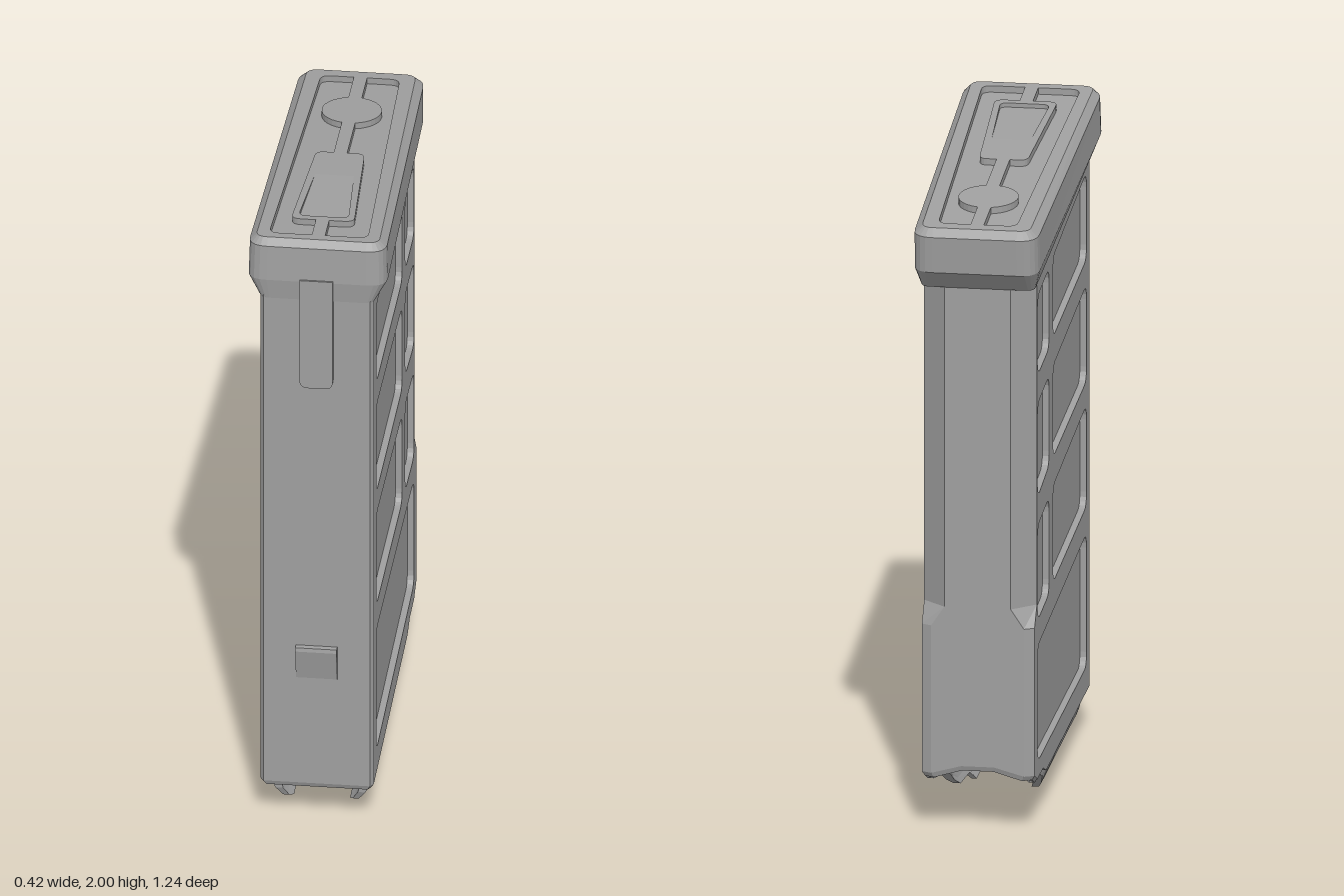
import * as THREE from 'three';

const SLOPE = 0.0875; // the cap and upper body rise towards the front

// Polygon with rounded corners; each point is [x, y, radius?]
function roundPoly(points, radius = 0, Type = THREE.Shape) {
  const path = new Type();
  const n = points.length;
  points.forEach((p, i) => {
    const a = points[(i + n - 1) % n], b = points[(i + 1) % n];
    const c = new THREE.Vector2(p[0], p[1]);
    const r = p[2] ?? radius;
    const toward = (q) => {
      const d = new THREE.Vector2(q[0], q[1]).sub(c);
      return d.setLength(Math.min(r, d.length() * 0.45)).add(c);
    };
    const s = toward(a), e = toward(b);
    if (i === 0) path.moveTo(s.x, s.y); else path.lineTo(s.x, s.y);
    if (r > 0) path.quadraticCurveTo(c.x, c.y, e.x, e.y);
  });
  return path;
}

// Faceted skin through rings of equal point count
function loft(rings, capStart, capEnd) {
  const pos = [];
  const tri = (...v) => v.forEach((p) => pos.push(...p));
  const n = rings[0].length;
  const centre = (ring) => [0, 1, 2].map((k) => ring.reduce((s, p) => s + p[k], 0) / n);
  const last = rings[rings.length - 1];
  const c0 = centre(rings[0]), c1 = centre(last);
  for (let i = 0; i < n; i++) {
    const j = (i + 1) % n;
    for (let k = 0; k + 1 < rings.length; k++) {
      const a = rings[k], b = rings[k + 1];
      tri(a[i], a[j], b[j]);
      tri(a[i], b[j], b[i]);
    }
    if (capStart) tri(c0, rings[0][j], rings[0][i]);
    if (capEnd) tri(c1, last[i], last[j]);
  }
  const g = new THREE.BufferGeometry();
  g.setAttribute('position', new THREE.Float32BufferAttribute(pos, 3));
  g.computeVertexNormals();
  return g;
}

const extrude = (shape, depth) =>
  new THREE.ExtrudeGeometry(shape, { depth, bevelEnabled: false, curveSegments: 5 });

// Plate drawn in (z, y), its outer face at the given x
const sidePlate = (shape, depth, x) => extrude(shape, depth).rotateY(-Math.PI / 2).translate(x, 0, 0);

// Plate drawn in (x, z), its upper face following the sloped top
function topPlate(shape, depth, y, drop = () => 0) {
  const g = extrude(shape, depth).rotateX(Math.PI / 2).translate(0, y, 0);
  const p = g.attributes.position;
  for (let i = 0; i < p.count; i++) p.setY(i, p.getY(i) + SLOPE * p.getZ(i) - drop(p.getZ(i)));
  g.computeVertexNormals();
  return g;
}

const mirrorX = (half) => [...half, ...half.map(([x, ...rest]) => [-x, ...rest]).reverse()];

export function createModel() {
  const model = new THREE.Group();
  model.name = 'boxContainer';
  const grey = new THREE.MeshStandardMaterial({ color: 0xa0a0a0, side: THREE.DoubleSide });
  grey.name = 'grey';
  const add = (name, geometry) => {
    const mesh = new THREE.Mesh(geometry, grey);
    mesh.name = name;
    model.add(mesh);
    return mesh;
  };

  // Hollow body, open below, with wider back corners on the lower part
  const section = (zb, xc) => mirrorX([
    [0.16, 0.6], [0.17, 0.585], [0.17, 0.55], [0.15, 0.55], [0.15, -0.3], [0.15, -0.478],
    [0.17, -0.478], [0.17, zb], [xc, -0.55], [0.05, -0.55],
  ]);
  const lower = section(-0.535, 0.14), upper = section(-0.487, 0.1);
  const bottomY = (x, z) => {
    if (z < -0.5) return Math.abs(x) < 0.06 ? 0.19 : 0.165;
    return z < -0.35 ? 0.14 : 0.112;
  };
  const topY = (z) => 1.76 + SLOPE * z;
  const inner = ([x, z]) => [Math.sign(x) * Math.min(Math.abs(x), 0.15) * 0.87, (z - 0.025) * 0.93 + 0.025];
  const at = (sec, y, place = (p) => p) => sec.map((p) => {
    const [x, z] = place(p);
    return [x, y(p[0], p[1]), z];
  });
  add('bodyShell', loft([
    at(lower, (x, z) => topY(z), inner),
    at(lower, bottomY, inner),
    at(lower, bottomY, ([x, z]) => [x * 0.95, z * 0.99]),
    at(lower, (x, z) => bottomY(x, z) + 0.015),
    at(lower, () => 0.64),
    at(upper, () => 0.7),
    at(upper, (x, z) => topY(z)),
  ]));

  // Side plates with sunken panels: [front z, back z, top front, top back, bottom front, bottom back]
  const panels = [
    [0.52, -0.16, 1.745, 1.685, 1.475, 1.435],
    [0.52, -0.16, 1.395, 1.345, 1.095, 1.06],
    [0.52, -0.16, 1.02, 0.97, 0.705, 0.67],
    [-0.24, -0.472, 1.675, 1.655, 1.425, 1.41],
    [-0.24, -0.472, 1.34, 1.32, 1.06, 1.03],
    [-0.24, -0.472, 0.96, 0.94, 0.66, 0.645],
    [0.52, -0.472, 0.62, 0.565, 0.205, 0.205],
  ];
  const plate = roundPoly([
    [0.56, 0.127], [-0.3, 0.127], [-0.36, 0.152], [-0.482, 0.152], [-0.482, topY(-0.482)], [0.56, topY(0.56)],
  ]);
  for (const [zf, zb, tf, tb, bf, bb] of panels) {
    plate.holes.push(roundPoly([[zf, tf], [zb, tb], [zb, bb], [zf, bf]], 0.045, THREE.Path));
  }
  add('leftSidePlate', sidePlate(plate, 0.021, 0.17));
  add('rightSidePlate', sidePlate(plate, 0.021, -0.149));

  // Curled lips under the body: [z, lowest y]
  const lipSteps = [
    [-0.36, 0.136], [-0.28, 0.1], [-0.22, 0.06], [-0.17, 0.035], [-0.02, 0.025],
    [0, 0], [0.455, 0], [0.485, 0.015], [0.498, 0.045], [0.5, 0.1],
  ];
  const lipRings = lipSteps.map(([z, low]) => {
    const outer = [], inside = [];
    for (let i = 0; i <= 6; i++) {
      const y = low + (0.14 - low) * (i / 6);
      const t = Math.max(0, (0.12 - y) / 0.12);
      const x = 0.157 - 0.057 * t * t;
      outer.push([x, y, z]);
      inside.unshift([x - 0.034 + 0.018 * t, y, z]);
    }
    return [...outer, ...inside];
  });
  const lip = loft(lipRings, true, true);
  add('leftLip', lip);
  add('rightLip', lip).scale.x = -1;

  // Guide ribs on the inner walls
  for (const side of [-1, 1]) {
    for (const z of [-0.12, -0.22]) {
      add('innerRib', new THREE.BoxGeometry(0.012, 0.3, 0.025).translate(side * 0.126, 0.3, z));
    }
  }

  // Sloped cap, tapering to the back
  const outline = (hf, hb, zf, zb, r) => roundPoly([[hf, zf], [hb, zb], [-hb, zb], [-hf, zf]], r);
  const capRing = (shape, y) => shape.getPoints(5).map((p) => [p.x, y + SLOPE * p.y, p.y]);
  const rim = outline(0.185, 0.163, 0.582, -0.592, 0.035);
  add('cap', loft([
    capRing(outline(0.172, 0.172, 0.602, -0.552, 0.03), 1.745),
    capRing(outline(0.21, 0.188, 0.61, -0.606, 0.06), 1.81),
    capRing(outline(0.207, 0.187, 0.604, -0.616, 0.06), 1.923),
    capRing(rim, 1.945),
  ], true, false));
  add('capRecessFloor', topPlate(rim, 0.005, 1.925));

  // Cap deck: two sunken fields leave a raised disc, stem and flared tongue
  const field = [
    [0.02, -0.553, 0], [0.118, -0.553], [0.148, 0.55], [0.02, 0.55, 0], [0.02, 0.445, 0],
    [0.095, 0.445], [0.073, -0.028], [0.02, -0.028, 0],
  ];
  for (let i = 0; i <= 14; i++) {
    const a = 0.225 + (i / 14) * (Math.PI - 0.45);
    field.push([0.09 * Math.sin(a), -0.325 + 0.09 * Math.cos(a), 0]);
  }
  const dip = [[0.058, 0.13, 0], [0.075, 0.42], [-0.075, 0.42], [-0.058, 0.13, 0]];
  const deck = outline(0.185, 0.163, 0.582, -0.592, 0.035);
  deck.holes.push(
    roundPoly(field, 0.03, THREE.Path),
    roundPoly(field.map(([x, ...rest]) => [-x, ...rest]), 0.03, THREE.Path),
    roundPoly(dip, 0.025, THREE.Path),
  );
  add('capDeck', topPlate(deck, 0.025, 1.945));
  add('tongueRamp', topPlate(roundPoly(dip, 0.025), 0.005, 1.945, (z) => (z - 0.13) * 0.045));

  // Front strip below the cap and small wedge catch
  const strip = roundPoly([[-0.05, 1.5], [0.05, 1.5], [0.05, 1.87, 0], [-0.05, 1.87, 0]], 0.025);
  add('frontStrip', extrude(strip, 0.025).translate(0, 0, 0.59));
  const wedge = roundPoly([[0.59, 0.49], [0.6, 0.49], [0.62, 0.59], [0.618, 0.602], [0.59, 0.602]]);
  add('frontCatch', sidePlate(wedge, 0.124, 0.062));

  return model;
}
